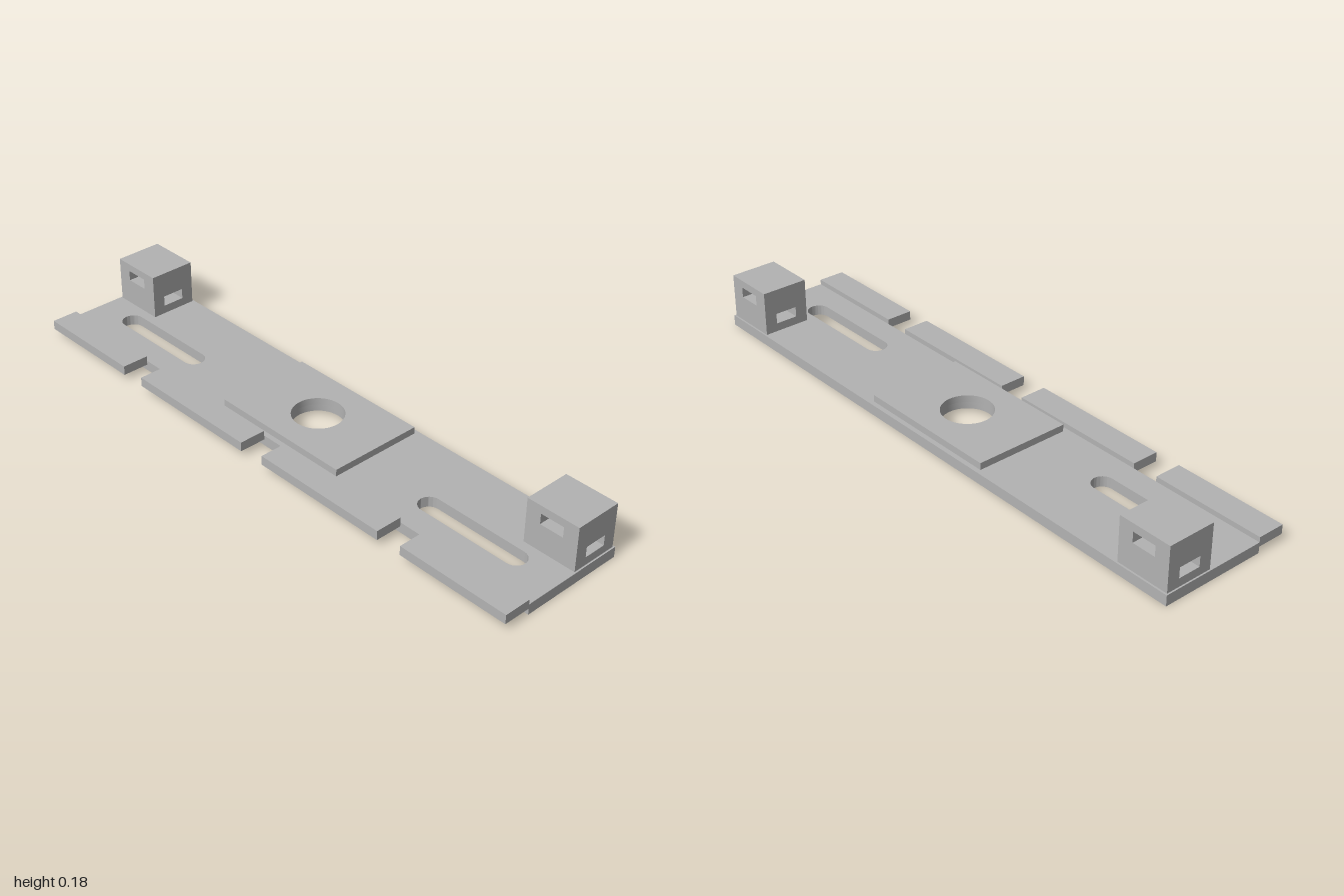
import * as THREE from 'three';
import { mergeGeometries, toCreasedNormals } from 'three/addons/utils/BufferGeometryUtils.js';

const metal = new THREE.MeshStandardMaterial({ color: 0xb3b3b3 });
metal.name = 'grey metal';

const BORE_Z = -0.045;

function mesh(name, geometry) {
  const m = new THREE.Mesh(geometry, metal);
  m.name = name;
  return m;
}

function rect(x0, x1, y0, y1) {
  return new THREE.Shape([[x0, y0], [x1, y0], [x1, y1], [x0, y1]].map(p => new THREE.Vector2(...p)));
}

function circle(z, r) {
  return new THREE.Shape().absarc(0, -z, r, 0, Math.PI * 2, false);
}

// round-ended slot lying along x
function slot(x0, x1, z, r) {
  const s = new THREE.Shape();
  s.absarc(x1 - r, -z, r, -Math.PI / 2, Math.PI / 2, false);
  s.absarc(x0 + r, -z, r, Math.PI / 2, Math.PI * 1.5, false);
  s.closePath();
  return s;
}

// horizontal plate from y0 to y1; shapes are drawn in (x, -z)
function slab(shape, holes, y0, y1) {
  shape.holes.push(...holes);
  const g = new THREE.ExtrudeGeometry(shape, { depth: y1 - y0, bevelEnabled: false, curveSegments: 24 });
  g.rotateX(-Math.PI / 2).translate(0, y0, 0);
  return toCreasedNormals(g, 0.6);
}

// inward-facing walls of a square channel, open at both ends along the given axis
function channel(w, h, d, axis) {
  const box = new THREE.BoxGeometry(w, h, d);
  const skip = axis === 'x' ? [0, 1] : [4, 5];
  const index = Array.from(box.index.array).filter((_, i) => !skip.includes(Math.floor(i / 6)));
  box.setIndex(index.reverse());
  const g = box.toNonIndexed();
  g.clearGroups();
  g.computeVertexNormals();
  return g;
}

// flat wall panel with an optional window
function panel(w, h, win) {
  const s = rect(-w / 2, w / 2, -h / 2, h / 2);
  if (win) s.holes.push(rect(-win.w / 2, win.w / 2, win.y - win.h / 2, win.y + win.h / 2));
  return new THREE.ShapeGeometry(s).toNonIndexed();
}

// block pierced by a high channel front to back and a low one side to side
function blockGeometry() {
  const w = 0.18, h = 0.149, d = 0.16;
  const high = { w: 0.08, h: 0.035, y: 0.031 };
  const low = { w: 0.076, h: 0.035, y: -0.029 };
  const parts = [];
  for (let i = 0; i < 2; i++) {
    parts.push(panel(w, h, high).translate(0, 0, d / 2).rotateY(i * Math.PI));
    parts.push(panel(d, h, low).translate(0, 0, w / 2).rotateY(Math.PI / 2 + i * Math.PI));
    parts.push(panel(w, d).translate(0, 0, h / 2).rotateX(-Math.PI / 2 + i * Math.PI));
  }
  parts.push(channel(high.w, high.h, d, 'z').translate(0, high.y, 0));
  parts.push(channel(w, low.h, low.w, 'x').translate(0, low.y, 0));
  return mergeGeometries(parts);
}

export function createModel() {
  const model = new THREE.Group();
  model.name = 'mountingBracket';

  // base plate with two slots and a wide opening for the recessed bore
  model.add(mesh('basePlate', slab(rect(-1, 1, -0.132, 0.223), [
    slot(-0.882, -0.49, 0.012, 0.036),
    slot(0.49, 0.882, 0.012, 0.036),
    circle(BORE_Z, 0.133),
  ], 0, 0.035)));

  // shoulder ring above the recess on the underside
  model.add(mesh('boreShoulder', slab(circle(BORE_Z, 0.133), [circle(BORE_Z, 0.083)], 0.012, 0.035)));

  // raised centre pad
  model.add(mesh('centrePad', slab(rect(-0.25, 0.25, -0.115, 0.207), [circle(BORE_Z, 0.083)], 0.035, 0.058)));

  for (const [side, s] of [['left', 1], ['right', -1]]) {
    // raised tabs along the front edge
    for (const [name, x0, x1] of [['InnerTab', 0.046, 0.528], ['OuterTab', 0.616, 1]]) {
      const tab = mesh(side + name, new THREE.BoxGeometry(x1 - x0, 0.031, 0.091));
      tab.position.set(s * (x0 + x1) / 2, 0.0365, 0.1775);
      model.add(tab);
    }
    // pierced corner block
    const block = mesh(side + 'Block', blockGeometry());
    block.position.set(s * 0.905, 0.1095, -0.137);
    model.add(block);
  }
  return model;
}
